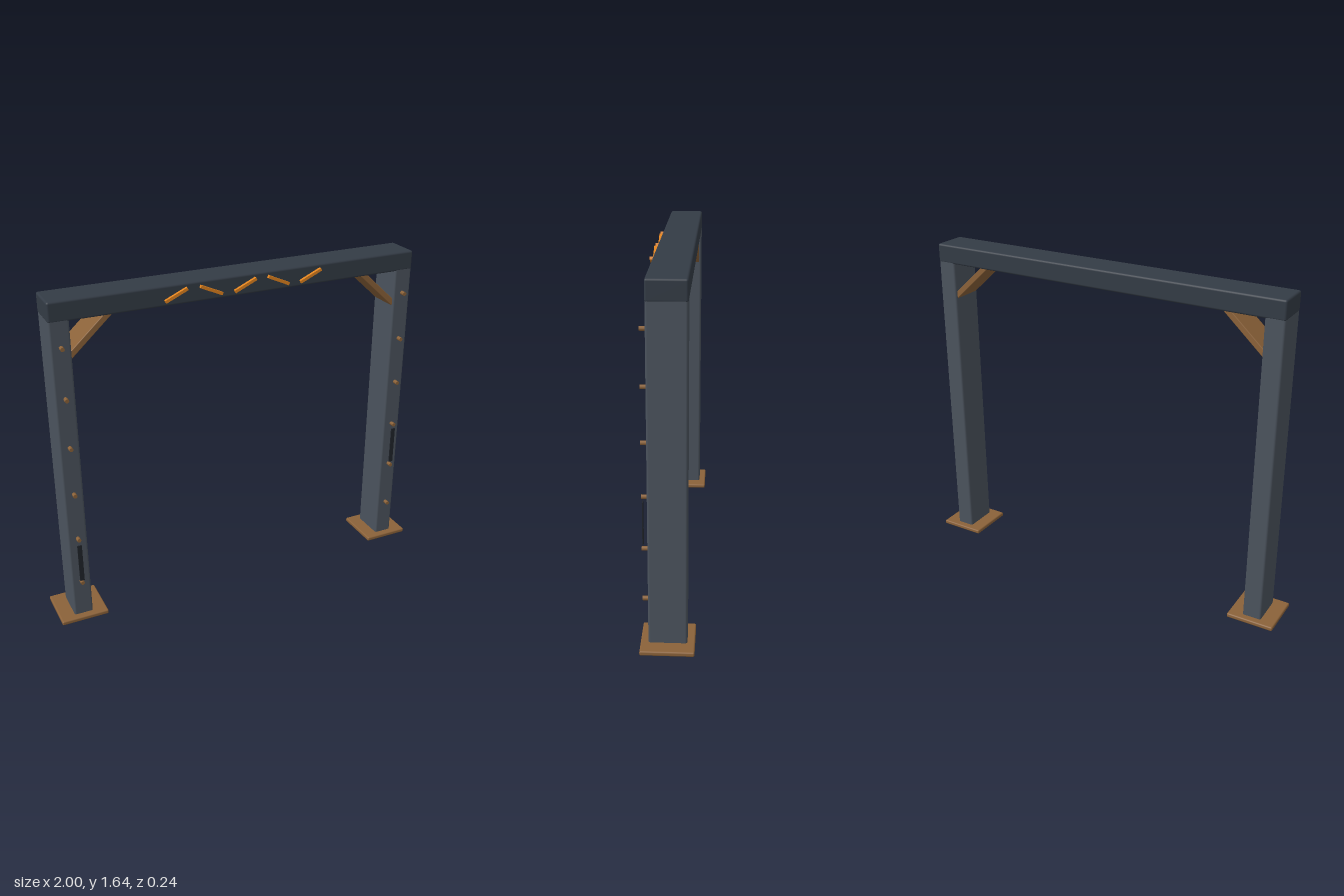
import * as THREE from 'three';
import { RoundedBoxGeometry } from 'three/addons/geometries/RoundedBoxGeometry.js';

const material = (color) => new THREE.MeshStandardMaterial({ color });

export function createModel() {
  const group = new THREE.Group();
  const postGrey = material(0x4b535d);
  const beamGrey = material(0x333b45);
  const bronze = material(0x8b6239);
  const orange = material(0xe0821e);
  const black = material(0x20242a);

  const add = (name, geometry, mat, x, y, z, tilt = 0) => {
    const mesh = new THREE.Mesh(geometry, mat);
    mesh.name = name;
    mesh.position.set(x, y, z);
    mesh.rotation.z = tilt;
    group.add(mesh);
  };

  // Shared geometries
  const postGeo = new RoundedBoxGeometry(0.094, 1.643, 0.172, 2, 0.01);
  const plateGeo = new RoundedBoxGeometry(0.237, 0.022, 0.24, 2, 0.007);
  const braceGeo = new RoundedBoxGeometry(0.27, 0.029, 0.15, 2, 0.004);
  const boltGeo = new THREE.CylinderGeometry(0.01, 0.01, 0.026, 10).rotateX(Math.PI / 2);
  const slotGeo = new THREE.BoxGeometry(0.022, 0.2, 0.005);
  const stripeGeo = new THREE.BoxGeometry(0.118, 0.014, 0.015);

  // Lintel across both posts
  add('lintel', new RoundedBoxGeometry(1.856, 0.095, 0.174, 2, 0.01), beamGrey, 0, 1.5975, 0);

  for (const side of [-1, 1]) {
    const label = side > 0 ? 'left' : 'right';
    // Post standing through its foot plate
    add(label + 'Post', postGeo, postGrey, side * 0.88, 0.8215, 0);
    add(label + 'FootPlate', plateGeo, bronze, side * 0.8815, 0.012, 0);
    // Diagonal corner brace, ends buried in post and lintel
    add(label + 'Brace', braceGeo, bronze, side * 0.743, 1.471, 0, -side * 0.74);
    // Column of bolts on the front face
    for (let i = 0; i < 6; i++) {
      add(label + 'Bolt' + (i + 1), boltGeo, bronze, side * 0.88, 0.217 + i * 0.2436, 0.1);
    }
    // Dark vertical strip, higher on the left post
    add(label + 'Strip', slotGeo, black, side * 0.88, side > 0 ? 0.58 : 0.33, 0.107);
  }

  // Zigzag of stripes on the front of the lintel
  for (let i = 0; i < 5; i++) {
    const tilt = i % 2 === 0 ? 0.42 : -0.42;
    add('stripe' + (i + 1), stripeGeo, orange, (i - 2) * 0.171, 1.6, 0.099, tilt);
  }
  return group;
}
